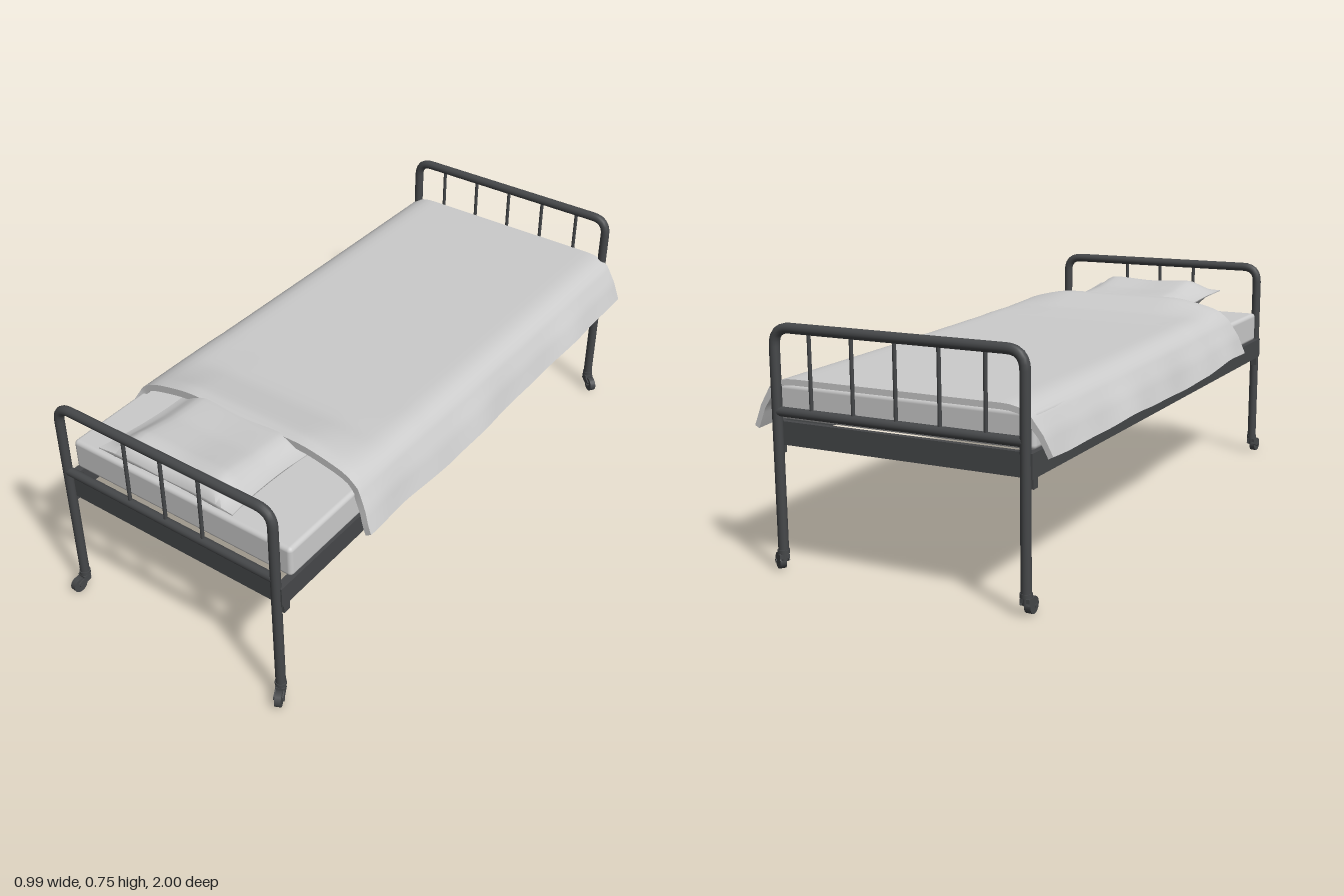
import * as THREE from 'three';
import { toCreasedNormals } from 'three/addons/utils/BufferGeometryUtils.js';
import { RoundedBoxGeometry } from 'three/addons/geometries/RoundedBoxGeometry.js';

const steel = new THREE.MeshStandardMaterial({ color: 0x46484a });
const cloth = new THREE.MeshStandardMaterial({ color: 0xcccccc });
const CX = -0.008, LEG = 0.402, HEAD_Z = 0.945, FOOT_Z = -0.983;
const { lerp, smoothstep } = THREE.MathUtils;

function add(parent, name, geo, mat, x = 0, y = 0, z = 0) {
  const m = new THREE.Mesh(geo, mat);
  m.name = name;
  m.position.set(x, y, z);
  parent.add(m);
  return m;
}
const box = (p, name, w, h, d, x, y, z) => add(p, name, new THREE.BoxGeometry(w, h, d), steel, x, y, z);
const rod = (p, name, r, h, x, y, z, sides = 14) =>
  add(p, name, new THREE.CylinderGeometry(r, r, h, sides), steel, x, y, z);

// Piecewise linear lookup through [key, value] pairs with rising keys
function along(pairs, t) {
  for (let i = 1; i < pairs.length; i++) {
    const [a, va] = pairs[i - 1], [b, vb] = pairs[i];
    if (t <= b) return lerp(va, vb, Math.max(0, (t - a) / (b - a)));
  }
  return pairs[pairs.length - 1][1];
}

// Closed padded sheet: top(u, v) and bottom(u, v) give points, u towards +x, v towards +z
function paddedSheet(top, bottom, nu, nv, crease) {
  const pos = [], idx = [], n = nu + 1, ring = 2 * n;
  for (let j = 0; j <= nv; j++) {
    for (let i = 0; i <= nu; i++) pos.push(...top(i / nu, j / nv));
    for (let i = nu; i >= 0; i--) pos.push(...bottom(i / nu, j / nv));
  }
  const quad = (a, b, c, d) => idx.push(a, b, c, a, c, d);
  for (let j = 0; j < nv; j++) for (let k = 0; k < ring; k++) {
    const l = (k + 1) % ring, o = j * ring;
    quad(o + k, o + ring + k, o + ring + l, o + l);
  }
  const o = nv * ring;
  for (let i = 0; i < nu; i++) {
    quad(i, i + 1, ring - 2 - i, ring - 1 - i);
    quad(o + i, o + ring - 1 - i, o + ring - 2 - i, o + i + 1);
  }
  const g = new THREE.BufferGeometry();
  g.setAttribute('position', new THREE.Float32BufferAttribute(pos, 3));
  g.setIndex(idx);
  return toCreasedNormals(g, crease);
}

// Swivel caster trailing towards the given angle (0 = +z, positive turns to +x)
function caster(parent, x, z, angle) {
  const g = new THREE.Group();
  g.name = 'caster';
  g.position.set(x, 0, z);
  g.rotation.y = angle;
  parent.add(g);
  rod(g, 'casterCollar', 0.018, 0.012, 0, 0.062, 0);
  rod(g, 'casterStem', 0.011, 0.025, 0, 0.046, 0);
  for (const s of [-1, 1]) {
    const arm = box(g, 'casterFork', 0.004, 0.022, 0.045, s * 0.013, 0.036, 0.014);
    arm.rotation.x = 0.4;
  }
  box(g, 'forkBridge', 0.03, 0.012, 0.026, 0, 0.047, 0.003);
  rod(g, 'casterWheel', 0.025, 0.02, 0, 0.025, 0.03, 20).rotation.z = Math.PI / 2;
  rod(g, 'casterAxle', 0.006, 0.034, 0, 0.025, 0.03, 10).rotation.z = Math.PI / 2;
}

// Bent tube end frame with lower rail, upright bars, apron and casters
function endFrame(parent, name, z, barXs, inward, angles) {
  const g = new THREE.Group();
  g.name = name;
  parent.add(g);
  const v = (x, y) => new THREE.Vector3(CX + x, y, z), top = 0.73, r = 0.055;
  const path = new THREE.CurvePath();
  path.add(new THREE.LineCurve3(v(-LEG, 0.06), v(-LEG, top - r)));
  path.add(new THREE.QuadraticBezierCurve3(v(-LEG, top - r), v(-LEG, top), v(-LEG + r, top)));
  path.add(new THREE.LineCurve3(v(-LEG + r, top), v(LEG - r, top)));
  path.add(new THREE.QuadraticBezierCurve3(v(LEG - r, top), v(LEG, top), v(LEG, top - r)));
  path.add(new THREE.LineCurve3(v(LEG, top - r), v(LEG, 0.06)));
  add(g, 'bentTube', new THREE.TubeGeometry(path, 140, 0.0155, 14), steel);
  rod(g, 'lowerRail', 0.0145, LEG * 2, CX, 0.485, z).rotation.z = Math.PI / 2;
  for (const x of barXs) rod(g, 'bar', 0.006, 0.24, x, 0.607, z, 10);
  box(g, 'apron', LEG * 2, 0.07, 0.018, CX, 0.42, z + inward * 0.015);
  [-1, 1].forEach((s, i) => {
    box(g, 'railBracket', 0.02, 0.095, 0.026, CX + s * 0.411, 0.403, z + inward * 0.022);
    caster(g, CX + s * LEG, z, angles[i]);
  });
}

// Sprung base: side rails and cross slats
function bedBase(parent) {
  const g = new THREE.Group();
  g.name = 'bedBase';
  parent.add(g);
  const len = HEAD_Z - FOOT_Z, mid = (HEAD_Z + FOOT_Z) / 2;
  for (const s of [-1, 1]) box(g, 'sideRail', 0.026, 0.07, len, CX + s * 0.409, 0.42, mid);
  for (const z of [-0.45, 0, 0.45]) box(g, 'crossSlat', 0.8, 0.04, 0.03, CX, 0.43, z);
}

// Pillow: thin pinched rim, plump middle, lifted outer end and flared corners
function pillowGeometry() {
  const topLine = [[0, 0.625], [0.2, 0.645], [0.5, 0.652], [0.82, 0.675], [0.93, 0.66], [1, 0.636]];
  const lowLine = [[0, 0.6], [0.15, 0.56], [0.6, 0.556], [0.78, 0.568], [1, 0.627]];
  const point = (isTop) => (u, v) => {
    const a = 2 * u - 1, b = 2 * v - 1;
    const x = CX - 0.004 + a * (0.238 + 0.016 * b * b);
    const z = lerp(0.5, 0.925, v) + 0.01 * b * a * a;
    const rim = lerp(0.6, 0.632, v);
    const puff = 1 - smoothstep(Math.abs(a), isTop ? 0.62 : 0.7, 1);
    const y = lerp(rim, along(isTop ? topLine : lowLine, v), puff);
    const sag = isTop ? 0.008 * (1 - smoothstep(Math.abs(a), 0, 0.6)) * v : -0.002;
    return [x, y - sag + (isTop ? 0.003 : -0.003), z];
  };
  return paddedSheet(point(true), point(false), 24, 20, 1.1);
}

// Blanket: flat over the mattress, raised over the pillow end, draped on both sides
function blanketGeometry() {
  const ridge = [[-0.98, 0.582], [-0.4, 0.59], [0.2, 0.602], [0.4, 0.612], [0.56, 0.652], [0.62, 0.642]];
  const hem = [[-0.98, 0.437], [0.2, 0.432], [0.42, 0.45], [0.62, 0.452]];
  // across: half position, drop fraction from shoulder to hem, half width
  const width = [[0, 0], [0.6, 0.39], [0.68, 0.425], [0.84, 0.462], [1, 0.489]];
  const drop = [[0, 0], [0.55, 0], [0.62, 0.07], [0.68, 0.19], [0.84, 0.58], [1, 1]];
  const point = (inner) => (u, v) => {
    const a = 2 * u - 1, t = Math.abs(a), s = Math.sign(a);
    const edge = smoothstep(t, 0.65, 1);
    const z = lerp(-0.978, 0.592, v) + edge * 0.028 * smoothstep(v, 0.85, 1);
    const wave = edge * (0.005 * Math.sin(z * 9 + s) + 0.003 * Math.sin(z * 21 + 2 * s));
    const base = Math.min(along(ridge, z), 0.605);
    const lift = (along(ridge, z) - base) * (1 - smoothstep(t, 0.3, 0.72));
    const low = along(hem, z) + (s < 0 ? 0.012 : 0) + wave;
    let y = lerp(base, low, along(drop, t)) + lift;
    let x = s * (along(width, t) - 0.004 + wave);
    if (inner) {
      // turned-over head hem is a little thicker
      const th = 0.018 + 0.007 * smoothstep(v, 0.9, 0.97);
      x -= s * th * 0.8 * smoothstep(t, 0.58, 0.75);
      y -= th * lerp(1, 0.45, smoothstep(t, 0.6, 0.9));
    }
    return [x, y, z];
  };
  return paddedSheet(point(false), point(true), 50, 60, 0.9);
}

export function createModel() {
  const bed = new THREE.Group();
  bed.name = 'wardBed';
  const inner = [-0.15, -0.01, 0.131];
  endFrame(bed, 'headFrame', HEAD_Z, inner, -1, [-0.1, 0.45]);
  endFrame(bed, 'footFrame', FOOT_Z, [-0.292, ...inner, 0.273], 1, [0, 0.95]);
  bedBase(bed);
  add(bed, 'mattress', new RoundedBoxGeometry(0.836, 0.105, 1.855, 3, 0.014), cloth, CX, 0.5085, -0.0325);
  add(bed, 'pillow', pillowGeometry(), cloth);
  add(bed, 'blanket', blanketGeometry(), cloth);
  return bed;
}
